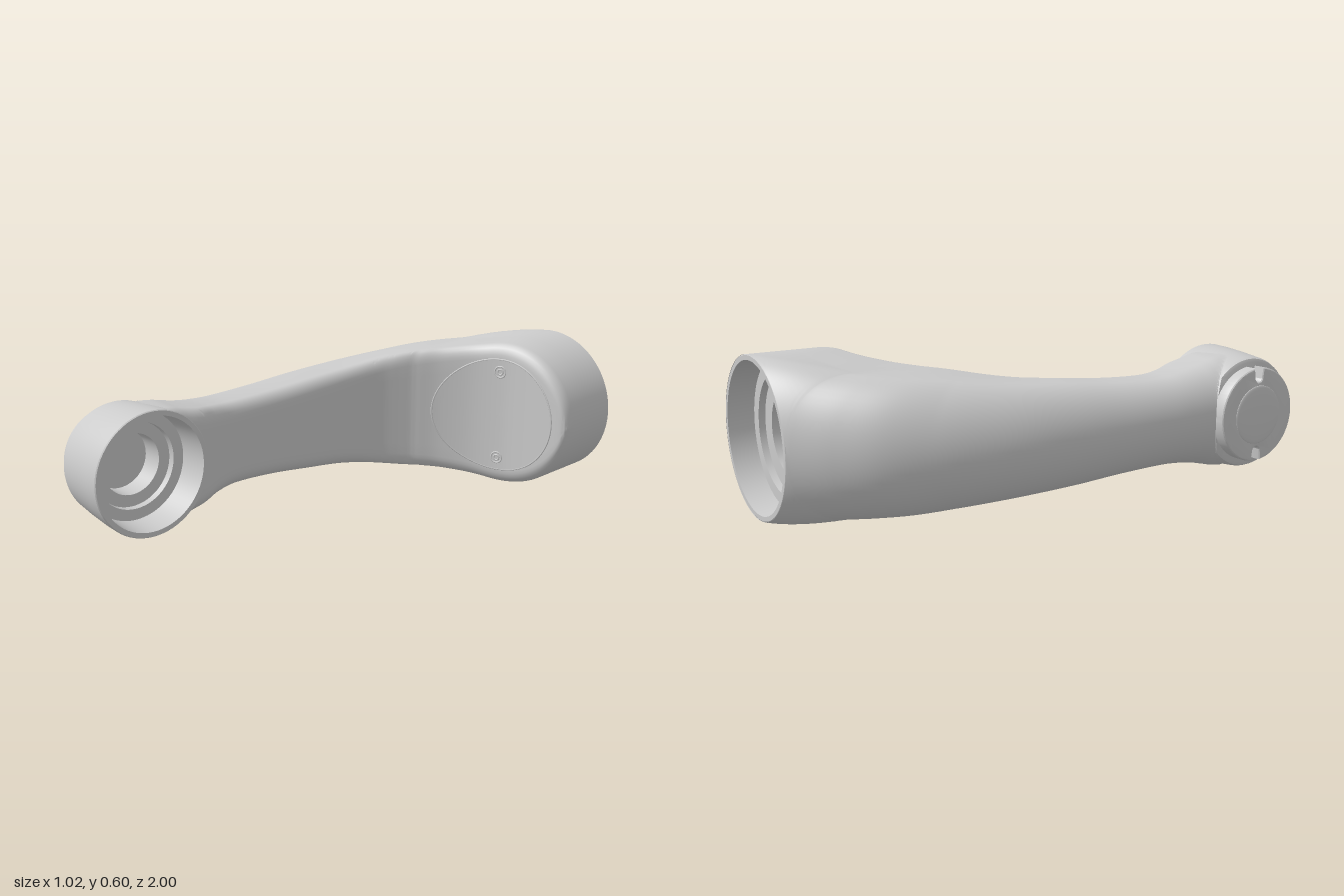
import * as THREE from 'three';
import { toCreasedNormals } from 'three/addons/utils/BufferGeometryUtils.js';

const CY = 0.3;                       // height of the centre plane
const BIG = { x: 0.21, r: 0.3 };      // large round end, axis along z
const SMALL = { z: 0.765, r: 0.225 }; // small round end, axis along x

const v3 = (a, b, c = 0) => new THREE.Vector3(a, b, c);
const spline = (pts) => new THREE.CatmullRomCurve3(pts, false, 'catmullrom', 0.5);

// Front face curve of the large end: z as a function of x
const facePoints = spline([
  [0.51, -0.73], [0.5, -0.708], [0.45, -0.695], [0.3, -0.676], [0.21, -0.655], [0.1, -0.605],
  [0, -0.53], [-0.06, -0.465], [-0.09, -0.425], [-0.14, -0.33],
].map(([x, z]) => v3(x, z))).getPoints(300);

function faceZ(x) {
  for (let i = 1; i < facePoints.length; i++) {
    const a = facePoints[i - 1], b = facePoints[i];
    if (x >= b.x) return THREE.MathUtils.lerp(a.y, b.y, Math.min(1, Math.max(0, (a.x - x) / (a.x - b.x))));
  }
  return facePoints[facePoints.length - 1].y;
}

// One cross-section standing on the chord from the outer to the inner side.
// s0: how far round the outer curve it starts, hs and hf: half height at start and after it
function section({ ox, oz, ix, iz, s0, hs, hf }) {
  const half = [];
  const length = Math.hypot(ix - ox, iz - oz);
  const rc = 0.045 / length, ry = Math.min(0.06, hf);
  for (let k = 0; k <= 14; k++) {
    const u = 1 - Math.cos((k / 14) * Math.PI / 2);
    const s = Math.min(1, s0 + u);
    half.push([0.5 * u, THREE.MathUtils.lerp(hs, hf, u) * Math.sqrt(1 - (1 - s) ** 2)]);
  }
  for (let k = 0; k <= 6; k++) {
    const a = (k / 6) * Math.PI / 2;
    half.push([1 - rc + rc * Math.sin(a), hf - ry + ry * Math.cos(a)]);
  }
  for (let k = 1; k <= 4; k++) half.push([1, (hf - ry) * (1 - k / 4)]);
  const loop = [...half, ...half.slice(0, -1).reverse().map(([t, y]) => [t, -y])];
  return loop.map(([t, y]) => {
    // the arm stops where it meets the wall of the small housing
    const w = SMALL.r ** 2 - y * y;
    const limit = w > 0 ? SMALL.z - Math.sqrt(w) : SMALL.z;
    return v3(ox + (ix - ox) * t, CY + y, Math.min(limit, oz + (iz - oz) * t));
  });
}

function armGeometry() {
  const rings = [];
  // large end: sections across x, open at the back
  const N = 48;
  for (let i = 0; i <= N; i++) {
    const x = BIG.x + BIG.r * Math.cos((i / N) * Math.PI);
    const circle = Math.sqrt(Math.max(0, BIG.r ** 2 - (x - BIG.x) ** 2));
    const hf = x > 0.15 ? circle : 0.235 + (x + 0.19) * 0.173;
    const left = x < BIG.x;
    rings.push(section({
      ox: x, oz: -1, ix: x, iz: faceZ(x), hf,
      s0: left ? Math.max(0, 1 + (x - BIG.x) / BIG.r) : 1, hs: left ? BIG.r : hf,
    }));
  }
  // bend and straight: outer x, outer z, inner x, inner z, half height
  const keys = [
    [-0.09, -1, -0.09, -0.425, 0.252], [-0.2, -0.885, -0.115, -0.38, 0.246],
    [-0.295, -0.76, -0.14, -0.33, 0.237], [-0.37, -0.6, -0.162, -0.27, 0.225],
    [-0.428, -0.43, -0.18, -0.2, 0.212], [-0.471, -0.25, -0.193, -0.12, 0.2],
    [-0.497, -0.05, -0.206, 0, 0.188], [-0.508, 0.15, -0.226, 0.18, 0.172],
    [-0.51, 0.35, -0.235, 0.35, 0.166], [-0.507, 0.46, -0.222, 0.45, 0.174],
    [-0.505, 0.54, -0.197, 0.53, 0.188], [-0.505, 0.6, -0.195, 0.6, 0.203],
    [-0.505, 0.65, -0.195, 0.65, 0.215], [-0.505, 0.71, -0.195, 0.71, 0.222],
  ];
  const first = spline(keys.map((k) => v3(k[0], k[1], k[2])));
  const second = spline(keys.map((k) => v3(k[3], k[4])));
  const M = 130;
  for (let i = 1; i <= M; i++) {
    const a = first.getPoint(i / M), b = second.getPoint(i / M);
    const hs = b.y + 0.048 * Math.max(0, 1 - i / 30);
    rings.push(section({ ox: a.x, oz: a.y, ix: a.z, iz: b.x, s0: 0, hs, hf: b.y }));
  }
  // fold the end inward around the cap
  rings.push(rings[rings.length - 1].map((p) => v3(Math.max(p.x, -0.44), p.y, p.z)));

  const n = rings[0].length, index = [];
  for (let i = 0; i < rings.length - 1; i++) {
    for (let j = 0; j < n - 1; j++) {
      const a = i * n + j, b = a + n;
      index.push(a, b, a + 1, b, b + 1, a + 1);
    }
  }
  const g = new THREE.BufferGeometry().setFromPoints(rings.flat());
  g.setIndex(index);
  return toCreasedNormals(g, 0.6);
}

const lathe = (profile) => toCreasedNormals(
  new THREE.LatheGeometry(profile.map(([r, y]) => new THREE.Vector2(r, y)), 64), 0.5);

export function createModel() {
  const model = new THREE.Group();
  const material = new THREE.MeshStandardMaterial({ color: 0xcccccc, side: THREE.DoubleSide });
  const add = (name, geometry, x = 0, y = 0, z = 0) => {
    const mesh = new THREE.Mesh(geometry, material);
    mesh.name = name;
    mesh.position.set(x, y, z);
    model.add(mesh);
    return mesh;
  };

  add('arm', armGeometry());

  // Stepped socket in the back of the large end
  add('largeSocket', lathe([
    [0.3, 0.998], [0.297, 1], [0.28, 1], [0.272, 0.9], [0.225, 0.9], [0.222, 0.875],
    [0.155, 0.875], [0.15, 0.73], [0, 0.73],
  ]).rotateX(-Math.PI / 2), BIG.x, CY, 0);

  // Small housing with its stepped socket facing +x
  add('smallHousing', lathe([
    [0, -0.45], [0.2, -0.45], [0.212, -0.445], [0.218, -0.43], [0.228, -0.34], [0.235, -0.25],
    [0.237, -0.194], [0.234, -0.19], [0.216, -0.19], [0.208, -0.31], [0.165, -0.31],
    [0.163, -0.335], [0.117, -0.335], [0.115, -0.42], [0, -0.42],
  ]).rotateZ(-Math.PI / 2), 0, CY, SMALL.z);

  // Notched cap on the outer side of the small housing
  const R = 0.175, gap = 0.17, half = Math.PI / 2;
  const outline = new THREE.Shape();
  outline.absarc(0, 0, R, -half + gap, half - gap);
  outline.absarc(0, 0.145, 0.026, 0, Math.PI, true);
  outline.absarc(0, 0, R, half + gap, 3 * half - gap);
  outline.absarc(0, -0.145, 0.026, Math.PI, 0, true);
  const cap = new THREE.ExtrudeGeometry(outline, {
    depth: 0.05, bevelThickness: 0.01, bevelSize: 0.01, bevelSegments: 3, curveSegments: 32,
  });
  add('cap', toCreasedNormals(cap, 0.5).rotateY(-half), -0.44, CY, SMALL.z);
  const dome = new THREE.SphereGeometry(0.115, 40, 12, 0, Math.PI * 2, 0, half);
  add('capDome', dome.scale(1, 0.08, 1).rotateZ(half), -0.5, CY, SMALL.z);

  // Round cover plate bent to the front face
  const plate = new THREE.RingGeometry(0, 0.235, 72, 16);
  const p = plate.attributes.position;
  for (let i = 0; i < p.count; i++) p.setZ(i, faceZ(BIG.x + p.getX(i)) + 0.003);
  plate.computeVertexNormals();
  add('coverPlate', plate, BIG.x, CY, 0);

  const rim = [];
  for (let i = 0; i < 48; i++) {
    const a = (i / 48) * Math.PI * 2, x = 0.237 * Math.cos(a);
    rim.push(v3(x, 0.237 * Math.sin(a), faceZ(BIG.x + x)));
  }
  add('coverRim', new THREE.TubeGeometry(new THREE.CatmullRomCurve3(rim, true), 120, 0.004, 6, true), BIG.x, CY, 0);

  // Two cover screws, tilted with the face
  const tilt = Math.atan((faceZ(BIG.x - 0.02) - faceZ(BIG.x + 0.02)) / 0.04);
  for (const s of [-1, 1]) {
    const y = CY + s * 0.185, z = faceZ(BIG.x) + 0.002;
    add('screwRim', new THREE.TorusGeometry(0.023, 0.004, 8, 32), BIG.x, y, z).rotation.y = tilt;
    add('screwHead', new THREE.TorusGeometry(0.011, 0.004, 8, 24), BIG.x, y, z).rotation.y = tilt;
  }
  return model;
}
